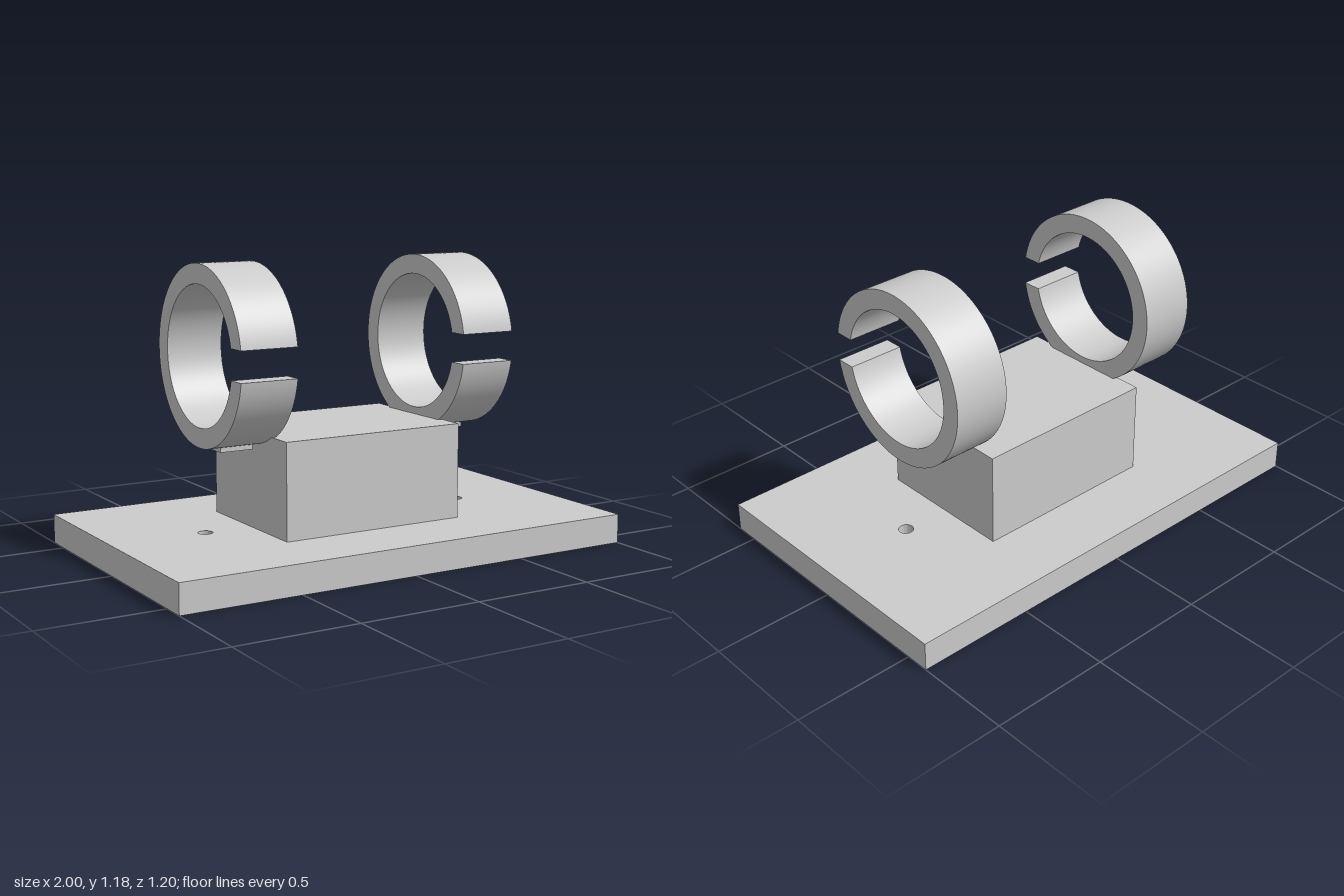
import * as THREE from 'three';
import { toCreasedNormals } from 'three/addons/utils/BufferGeometryUtils.js';

// Extrude a shape, centred on its depth, with smooth curves and sharp edges
function extrude(shape, depth, curveSegments) {
  const geometry = new THREE.ExtrudeGeometry(shape, { depth, curveSegments, bevelEnabled: false });
  geometry.translate(0, 0, -depth / 2);
  return toCreasedNormals(geometry, 0.5);
}

export function createModel() {
  const model = new THREE.Group();
  model.name = 'clipMount';
  const grey = new THREE.MeshStandardMaterial({ color: 0xcccccc });
  grey.name = 'grey';

  function add(name, geometry, x, y, z) {
    const mesh = new THREE.Mesh(geometry, grey);
    mesh.name = name;
    mesh.position.set(x, y, z);
    model.add(mesh);
  }

  // Base plate with two screw holes
  const plate = new THREE.Shape([[-1, -0.6], [1, -0.6], [1, 0.6], [-1, 0.6]].map(p => new THREE.Vector2(...p)));
  for (const x of [-0.6, 0.6]) {
    plate.holes.push(new THREE.Path().absarc(x, 0, 0.03, 0, Math.PI * 2, true));
  }
  add('basePlate', extrude(plate, 0.12, 32).rotateX(-Math.PI / 2), 0, 0.06, 0);

  // Central block
  add('block', new THREE.BoxGeometry(0.8, 0.39, 0.6), 0, 0.315, 0);

  // Open ring, with a parallel-sided gap facing the front
  const outer = 0.36, inner = 0.28, halfGap = 0.06;
  const a = Math.asin(halfGap / outer), b = Math.asin(halfGap / inner);
  const ring = new THREE.Shape();
  ring.absarc(0, 0, outer, a, Math.PI * 2 - a, false);
  ring.absarc(0, 0, inner, Math.PI * 2 - b, b, true);
  ring.closePath();
  const ringGeometry = extrude(ring, 0.24, 72).rotateY(-Math.PI / 2);

  // A ring and its small foot pad on each side
  for (const [side, x] of [['left', 0.5], ['right', -0.5]]) {
    add(side + 'Ring', ringGeometry, x, 0.82, 0);
    add(side + 'Pad', new THREE.BoxGeometry(0.14, 0.05, 0.16), x, 0.475, 0);
  }
  return model;
}
